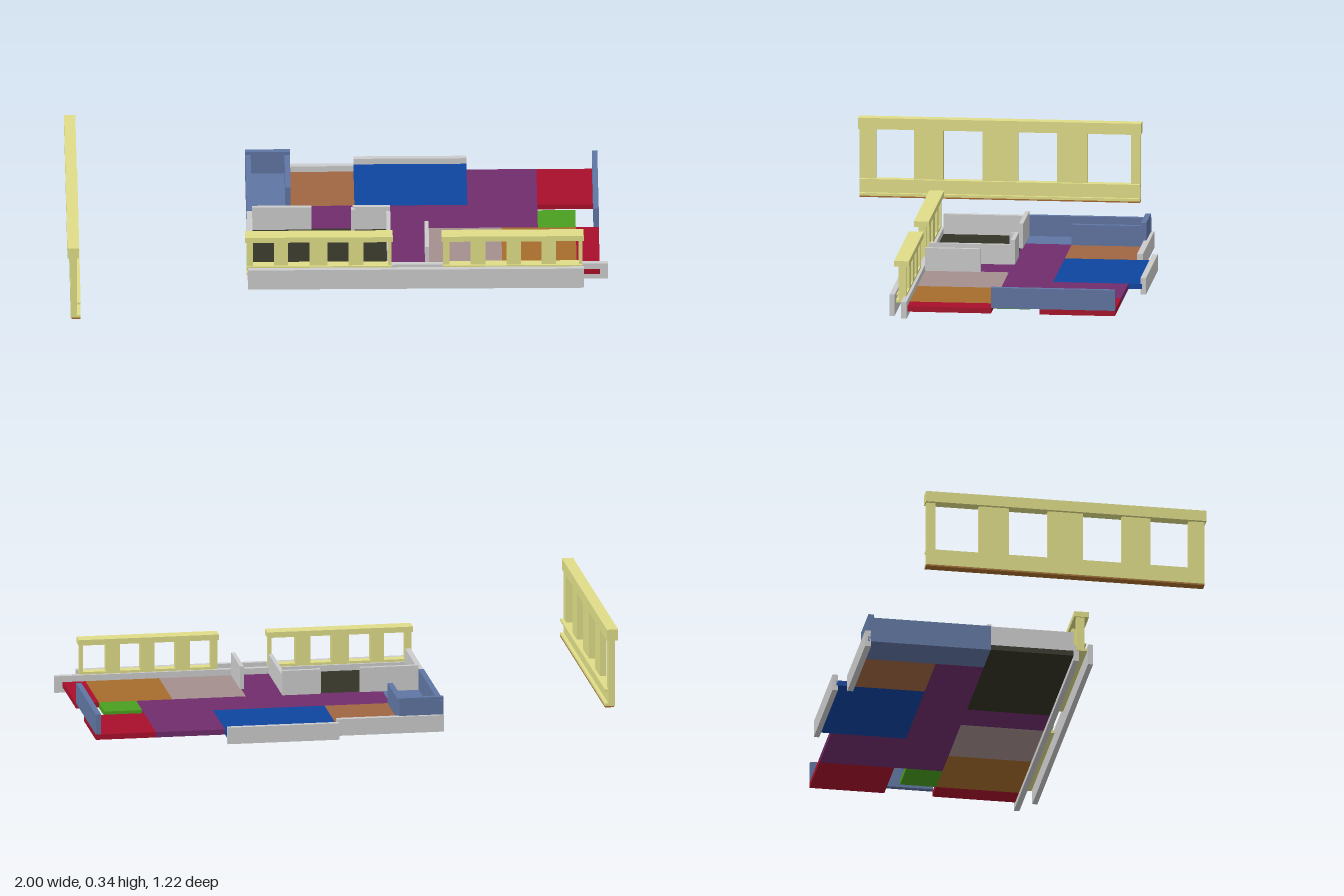
import * as THREE from 'three';

const GREY = 0xcccccc, YELLOW = 0xe0de88, SLATE = 0x5f75a2, PURPLE = 0x702c6c, RED = 0xa80f2a;

const mats = {};
function mat(color) {
  return mats[color] ??= new THREE.MeshStandardMaterial({ color, flatShading: true });
}

// Box given by its minimum and maximum on each axis
function block(parent, name, color, x0, x1, y0, y1, z0, z1) {
  const m = new THREE.Mesh(new THREE.BoxGeometry(x1 - x0, y1 - y0, z1 - z0), mat(color));
  m.name = name;
  m.position.set((x0 + x1) / 2, (y0 + y1) / 2, (z0 + z1) / 2);
  parent.add(m);
}

// Flat wall in the xy plane with rectangular window holes, extruded from z0 to z1
function windowWall(name, a, b, y0, y1, windows, sill, head, z0, z1) {
  const rect = (T, l, r, lo, hi) => {
    const p = new T();
    p.moveTo(l, lo); p.lineTo(r, lo); p.lineTo(r, hi); p.lineTo(l, hi); p.closePath();
    return p;
  };
  const shape = rect(THREE.Shape, a, b, y0, y1);
  for (const [l, r] of windows) shape.holes.push(rect(THREE.Path, l, r, sill, head));
  const g = new THREE.ExtrudeGeometry(shape, { depth: z1 - z0, bevelEnabled: false });
  g.translate(0, 0, z0);
  const m = new THREE.Mesh(g, mat(YELLOW));
  m.name = name;
  return m;
}

export function createModel() {
  const model = new THREE.Group();
  model.name = 'floorPlan';

  // Room floors: name, colour, x range, z range
  const floors = new THREE.Group();
  floors.name = 'floors';
  model.add(floors);
  for (const [name, color, x0, x1, z0, z1] of [
    ['slateRoomFloor', SLATE, -0.33, -0.175, -0.545, -0.085],
    ['brownRoomFloor', 0xa06642, -0.175, 0.07, -0.545, -0.265],
    ['blueRoomFloor', 0x0d45a0, 0.07, 0.487, -0.595, -0.265],
    ['hallFloor', PURPLE, -0.175, 0.487, -0.265, -0.085],
    ['eastHallFloor', PURPLE, 0.487, 0.745, -0.545, -0.085],
    ['corridorFloor', PURPLE, 0.2, 0.335, -0.085, 0.225],
    ['backRedFloor', RED, 0.745, 0.97, -0.545, -0.265],
    ['greenFloor', 0x4a9f20, 0.745, 0.885, -0.22, -0.085],
    ['mauveFloor', 0xa4908e, 0.335, 0.61, -0.085, 0.225],
    ['orangeFloor', 0xa66c2c, 0.61, 0.885, -0.085, 0.225],
    ['frontRedFloor', RED, 0.885, 0.97, -0.085, 0.247],
    ['darkRoomFloor', 0x333326, -0.33, 0.2, -0.085, 0.225],
  ]) block(floors, name, color, x0, x1, 0.03, 0.05, z0, z1);

  // Walls and edge beams: name, colour, x range, y range, z range
  const walls = new THREE.Group();
  walls.name = 'walls';
  model.add(walls);
  for (const w of [
    ['frontOuterBeam', GREY, -0.33, 0.91, 0, 0.08, 0.279, 0.298],
    ['frontInnerBeam', GREY, -0.33, 1, 0.01, 0.073, 0.225, 0.246],
    ['backBeam', GREY, -0.33, 0.07, 0.01, 0.073, -0.555, -0.533],
    ['backBayBeam', GREY, 0.07, 0.487, 0.01, 0.073, -0.61, -0.59],
    ['darkRoomWestWall', GREY, -0.33, -0.31, 0.05, 0.125, -0.085, 0.225],
    ['darkRoomEastWall', GREY, 0.185, 0.2, 0.05, 0.125, -0.085, 0.225],
    ['darkRoomBackWallWest', GREY, -0.31, -0.09, 0.05, 0.143, -0.093, -0.078],
    ['darkRoomBackWallEast', GREY, 0.06, 0.2, 0.05, 0.143, -0.093, -0.078],
    ['doorPost', GREY, 0.055, 0.068, 0.05, 0.14, -0.085, -0.06],
    ['corridorWall', GREY, 0.325, 0.34, 0.05, 0.136, 0.02, 0.225],
    ['slateWestWall', SLATE, -0.33, -0.31, 0.05, 0.127, -0.545, -0.085],
    ['slateBackWall', SLATE, -0.33, -0.165, 0.05, 0.14, -0.543, -0.522],
    ['slateInnerWall', SLATE, -0.185, -0.165, 0.05, 0.127, -0.522, -0.265],
    ['eastWall', SLATE, 0.95, 0.97, 0.05, 0.127, -0.545, -0.085],
  ]) block(walls, ...w);

  // Two front window panels with cap rails and base rails
  for (const [name, a, b, windows] of [
    ['frontWindowPanelWest', -0.335, 0.2, [[-0.31, -0.233], [-0.182, -0.102], [-0.036, 0.042], [0.098, 0.187]]],
    ['frontWindowPanelEast', 0.39, 0.905, [[0.415, 0.492], [0.547, 0.625], [0.678, 0.755], [0.807, 0.892]]],
  ]) {
    const panel = new THREE.Group();
    panel.name = name;
    panel.add(windowWall('windowWall', a, b, 0.05, 0.19, windows, 0.08, 0.187, 0.235, 0.265));
    block(panel, 'capRail', YELLOW, a - 0.005, b + 0.005, 0.186, 0.207, 0.226, 0.281);
    block(panel, 'baseRail', YELLOW, a, b, 0.05, 0.06, 0.235, 0.275);
    block(panel, 'sill', YELLOW, a, b, 0.076, 0.082, 0.235, 0.272);
    model.add(panel);
  }

  // Long free-standing window panel along z
  const long = new THREE.Group();
  long.name = 'longWindowPanel';
  const windows = [[-0.545, -0.403], [-0.295, -0.15], [-0.018, 0.127], [0.24, 0.402]];
  const wall = windowWall('windowWall', -0.605, 0.437, 0.05, 0.305, windows, 0.108, 0.3, -0.988, -0.964);
  // Turn the wall so its length runs along -z
  wall.geometry.rotateY(Math.PI / 2);
  wall.geometry.translate(-1.952, 0, 0);
  wall.geometry.computeBoundingBox();
  wall.position.x = -0.988 - wall.geometry.boundingBox.min.x;
  long.add(wall);
  block(long, 'capRail', YELLOW, -1, -0.958, 0.3, 0.342, -0.44, 0.61);
  block(long, 'sill', YELLOW, -0.985, -0.951, 0.105, 0.113, -0.437, 0.605);
  block(long, 'baseRail', YELLOW, -0.985, -0.951, 0.05, 0.06, -0.437, 0.605);
  block(long, 'baseStrip', 0xa66c2c, -0.985, -0.951, 0.045, 0.05, -0.437, 0.605);
  model.add(long);

  return model;
}
